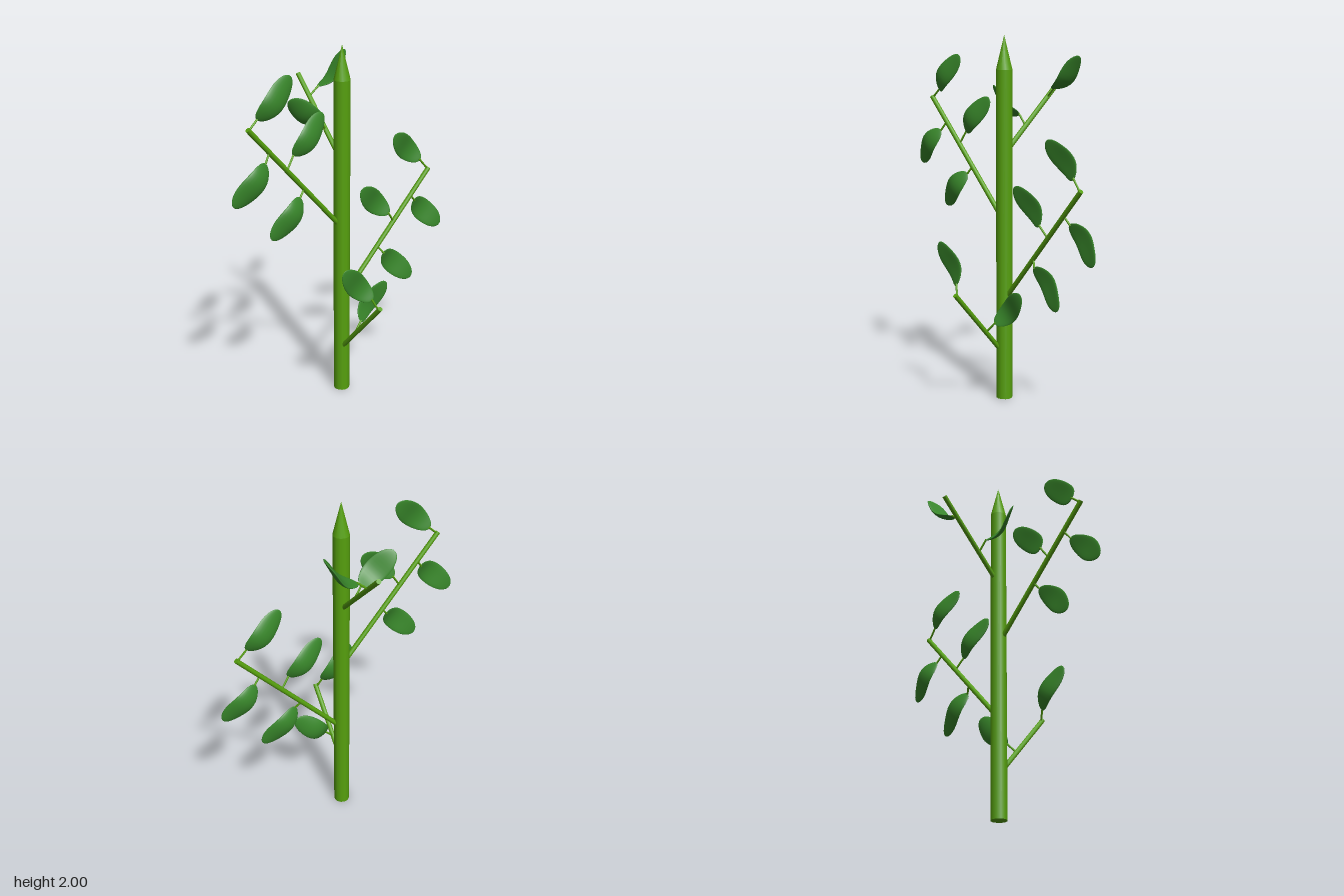
import * as THREE from 'three';

const stemGreen = new THREE.MeshStandardMaterial({ color: 0x56a00e });
const leafGreen = new THREE.MeshStandardMaterial({ color: 0x38862a });
const V = (p) => new THREE.Vector3(...p);

// Straight round rod between two points
function rod(name, a, b, radius) {
  const dir = b.clone().sub(a);
  const mesh = new THREE.Mesh(new THREE.CylinderGeometry(radius, radius, dir.length(), 10), stemGreen);
  mesh.name = name;
  mesh.position.copy(a).lerp(b, 0.5);
  mesh.quaternion.setFromUnitVectors(new THREE.Vector3(0, 1, 0), dir.normalize());
  return mesh;
}

// Thin oval blade from base to tip, arched towards the given normal
function leafBlade(base, tip, normal) {
  const axis = tip.clone().sub(base);
  const length = axis.length();
  axis.normalize();
  const n = normal.clone().addScaledVector(axis, -normal.dot(axis)).normalize();
  const w = axis.clone().cross(n);
  const geo = new THREE.SphereGeometry(1, 20, 20);
  const p = geo.attributes.position;
  for (let i = 0; i < p.count; i++) {
    const s = (p.getY(i) + 1) / 2;
    const x = p.getX(i);
    const arch = 0.034 * Math.sin(Math.PI * s) + 0.009 * Math.sin(2 * Math.PI * s);
    p.setXYZ(i, x * 0.064, s * length, p.getZ(i) * 0.011 + arch - 0.008 * x * x);
  }
  geo.computeVertexNormals();
  geo.applyMatrix4(new THREE.Matrix4().makeBasis(w, axis, n).setPosition(base));
  const mesh = new THREE.Mesh(geo, leafGreen);
  mesh.name = 'leafBlade';
  return mesh;
}

// Each leaf: [position along branch, blade base, blade tip]
const branches = [
  {
    name: 'leftBranch', from: [0, 0.56, 0.035], to: [0.603, 1.22, 0.03], normal: [0, 0, -1],
    leaves: [
      [0.99, [0.545, 1.275, 0.025], [0.345, 1.455, 0.04]],
      [0.79, [0.51, 1.04, 0.02], [0.70, 0.853, 0.028]],
      [0.59, [0.31, 1.01, 0.05], [0.11, 1.195, 0.06]],
      [0.4, [0.27, 0.783, 0.055], [0.47, 0.587, 0.06]],
    ],
  },
  {
    name: 'rightBranch', from: [0, 0.99, 0.035], to: [-0.603, 1.66, 0.088], normal: [0, 0, 1],
    leaves: [
      [0.99, [-0.545, 1.70, 0.08], [-0.344, 1.89, 0.08]],
      [0.79, [-0.508, 1.47, 0.095], [-0.704, 1.28, 0.10]],
      [0.61, [-0.323, 1.47, 0.055], [-0.127, 1.66, 0.04]],
      [0.43, [-0.29, 1.238, 0.07], [-0.48, 1.048, 0.085]],
    ],
  },
  {
    name: 'frontBranch', from: [-0.012, 0.28, 0.06], to: [0.008, 0.633, 0.377], normal: [0, 0, -1],
    leaves: [
      [0.96, [-0.02, 0.68, 0.345], [-0.20, 0.885, 0.335]],
      [0.32, [0.048, 0.45, 0.145], [0.243, 0.635, 0.12]],
    ],
  },
  {
    name: 'backBranch', from: [-0.002, 1.38, 0.02], to: [-0.006, 1.768, -0.378], normal: [0, 0, 1],
    leaves: [
      [0.73, [0.05, 1.71, -0.268], [0.235, 1.89, -0.28], [0.75, -0.7, 0.1]],
      [0.34, [-0.045, 1.575, -0.105], [-0.25, 1.72, -0.082], [-0.3, -0.5, 0.8]],
    ],
  },
];

export function createModel() {
  const plant = new THREE.Group();
  plant.name = 'plant';

  // Main stem with a pointed top
  const stem = new THREE.Mesh(new THREE.CylinderGeometry(0.045, 0.045, 1.815, 12), stemGreen);
  stem.name = 'mainStem';
  stem.position.set(-0.003, 0.9075, 0.035);
  const tip = new THREE.Mesh(new THREE.ConeGeometry(0.045, 0.185, 12), stemGreen);
  tip.name = 'stemTip';
  tip.position.set(-0.003, 1.9075, 0.035);
  plant.add(stem, tip);

  // Side branches carrying stalked leaves
  for (const b of branches) {
    const group = new THREE.Group();
    group.name = b.name;
    const from = V(b.from), to = V(b.to);
    group.add(rod('branchRod', from, to, 0.0135));
    for (const [t, base, end, normal] of b.leaves) {
      const leaf = new THREE.Group();
      leaf.name = 'leaf';
      const start = from.clone().lerp(to, t);
      const bladeBase = V(base), bladeTip = V(end);
      const stalkEnd = bladeBase.clone().lerp(bladeTip, 0.03);
      leaf.add(rod('leafStalk', start, stalkEnd, 0.0055));
      leaf.add(leafBlade(bladeBase, bladeTip, V(normal || b.normal)));
      group.add(leaf);
    }
    plant.add(group);
  }
  return plant;
}
